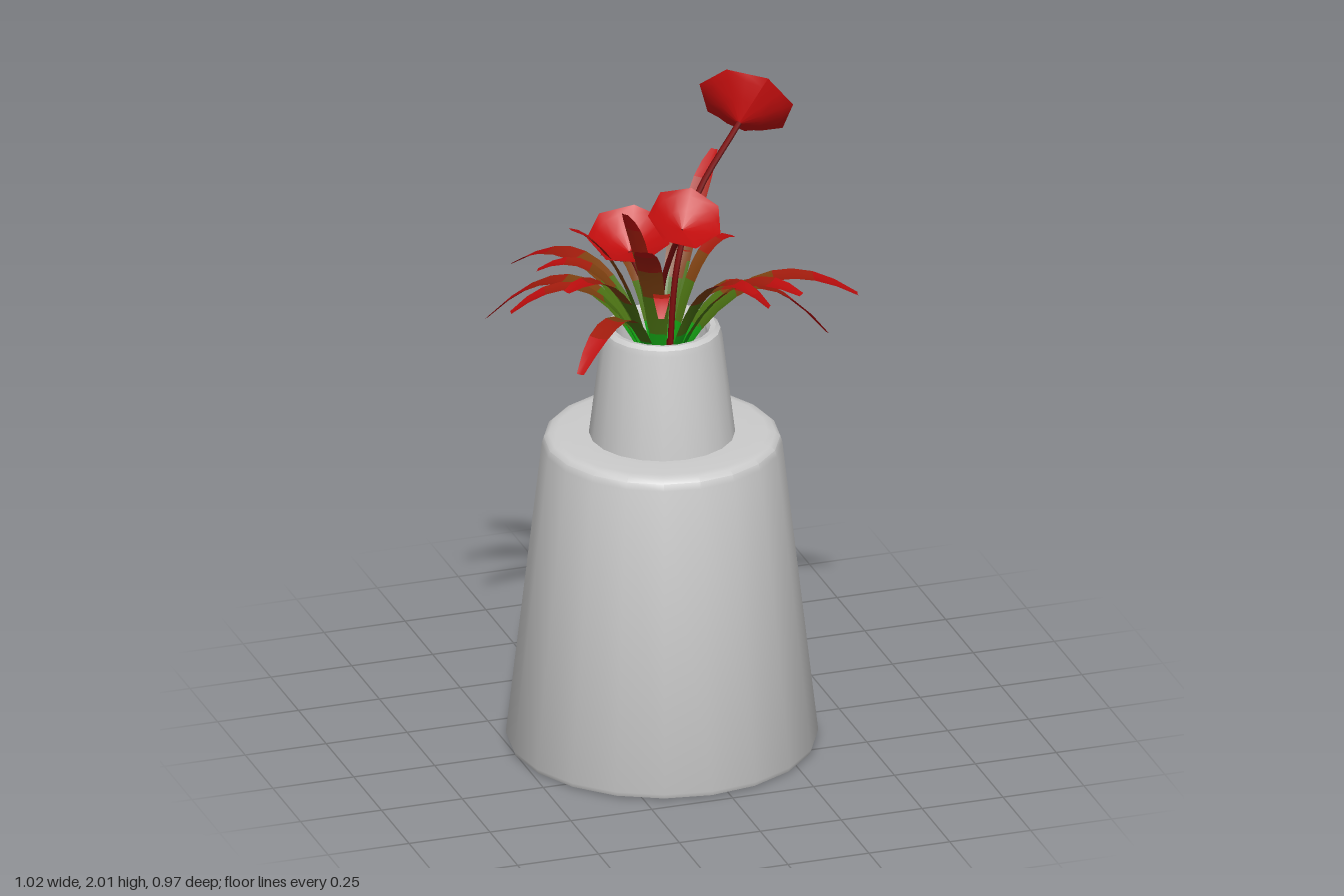
import * as THREE from 'three';
import { toCreasedNormals } from 'three/addons/utils/BufferGeometryUtils.js';

const V = (x, y, z) => new THREE.Vector3(x, y, z);
const AXIS = V(-0.055, 0, 0.022); // upright centre line of the vase
const thin = (color) => new THREE.MeshStandardMaterial({ color, side: THREE.DoubleSide });
// green at the root, red at the tip
const BANDS = [0x14a014, 0x4a7012, 0x7d4010, 0xa31c0d, 0xbb0d0d].map(thin);
const PETAL = thin(0xc40e0e);
const STEM = thin(0x7a0c0c);

function makeVase() {
  const profile = [
    [0, 0], [0.435, 0], [0.452, 0.006], [0.457, 0.02],
    [0.352, 0.945], [0.346, 0.965], [0.332, 0.977], [0.31, 0.98], [0.214, 0.98],
    [0.176, 1.295], [0.171, 1.313], [0.158, 1.323], [0.142, 1.32], [0.133, 1.305],
    [0.14, 1.12], [0, 1.12],
  ].map(([r, y]) => new THREE.Vector2(r, y));
  const geometry = toCreasedNormals(new THREE.LatheGeometry(profile, 20), 0.6);
  const mesh = new THREE.Mesh(geometry, new THREE.MeshStandardMaterial({ color: 0xcccccc }));
  mesh.name = 'vase';
  mesh.position.copy(AXIS);
  return mesh;
}

// Arching blade with a shallow central fold, in colour bands of two rows
function makeLeaf([x, y, z, width]) {
  const leaf = new THREE.Group();
  leaf.name = 'leaf';
  const tip = V(x, y, z);
  const out = V(x - AXIS.x, 0, z - AXIS.z);
  const reach = out.length();
  out.normalize();
  const side = V(out.z, 0, -out.x);
  const base = AXIS.clone().addScaledVector(out, 0.02).setY(1.15);
  const bend = AXIS.clone().addScaledVector(out, reach * 0.42).setY(1.62);
  const curve = new THREE.QuadraticBezierCurve3(base, bend, tip);
  const rows = BANDS.length * 2;
  const halfWidth = (t) => width * 0.5 *
    (t < 0.7 ? 0.3 + 0.7 * Math.sin((t / 0.7) * Math.PI / 2) : 1 - 0.65 * ((t - 0.7) / 0.3) ** 2);

  BANDS.forEach((material, b) => {
    const positions = [], index = [];
    for (let i = 0; i <= 2; i++) {
      const t = (b * 2 + i) / rows;
      const p = curve.getPoint(t);
      const up = curve.getTangent(t).cross(side).normalize();
      for (const s of [-1, 0, 1]) {
        const q = p.clone().addScaledVector(side, s * halfWidth(t));
        if (s === 0) q.addScaledVector(up, -0.15 * halfWidth(t));
        positions.push(q.x, q.y, q.z);
      }
      if (i < 2) for (let k = i * 3; k < i * 3 + 2; k++) index.push(k, k + 1, k + 3, k + 1, k + 4, k + 3);
    }
    const geometry = new THREE.BufferGeometry();
    geometry.setAttribute('position', new THREE.Float32BufferAttribute(positions, 3));
    geometry.setIndex(index);
    geometry.computeVertexNormals();
    const mesh = new THREE.Mesh(geometry, material);
    mesh.name = 'leafBand';
    leaf.add(mesh);
  });
  return leaf;
}

// Shallow scalloped cup on a curved stem
function makeFlower({ center, normal, radius, depth, via }) {
  const flower = new THREE.Group();
  flower.name = 'flower';
  const n = normal.clone().normalize();
  const profile = [[0.02, 0], [0.45, 0.42], [0.8, 0.8], [1, 1]]
    .map(([r, h]) => new THREE.Vector2(r * radius, (h - 0.75) * depth));
  const geometry = new THREE.LatheGeometry(profile, 14);
  const p = geometry.attributes.position;
  for (let i = 0; i < p.count; i++) {
    const row = i % profile.length;
    const column = Math.floor(i / profile.length);
    const k = row === 3 && column % 2 ? 0.9 : 1;
    p.setXYZ(i, p.getX(i) * k, p.getY(i), p.getZ(i) * k);
  }
  geometry.computeVertexNormals();
  const petals = new THREE.Mesh(geometry, PETAL);
  petals.name = 'petals';
  petals.position.copy(center);
  petals.quaternion.setFromUnitVectors(V(0, 1, 0), n);

  const path = new THREE.CatmullRomCurve3([
    V(AXIS.x + 0.02, 1.15, AXIS.z), ...via, center.clone().addScaledVector(n, -0.72 * depth),
  ]);
  const stem = new THREE.Mesh(new THREE.TubeGeometry(path, 16, 0.009, 6), STEM);
  stem.name = 'stem';
  flower.add(petals, stem);
  return flower;
}

export function createModel() {
  const model = new THREE.Group();
  model.name = 'pottedPlant';
  model.add(makeVase());

  // leaf tips (x, y, z) and blade width
  const leaves = [
    [-0.345, 1.35, -0.48, 0.08], [-0.46, 1.24, -0.37, 0.08], [-0.38, 1.47, -0.155, 0.06],
    [-0.495, 1.39, -0.06, 0.06], [-0.345, 1.68, 0.045, 0.06], [-0.4, 1.54, 0.17, 0.07],
    [-0.43, 1.37, 0.38, 0.065], [-0.21, 1.69, 0.285, 0.075], [-0.21, 1.75, 0.14, 0.06],
    [-0.135, 1.45, 0.25, 0.05], [0.11, 1.55, 0.38, 0.07], [0.265, 1.51, 0.345, 0.075],
    [0.22, 1.41, 0.19, 0.075], [0.51, 1.39, 0.14, 0.075], [0.48, 1.19, -0.055, 0.08],
    [0.2, 1.53, -0.07, 0.05], [0.21, 1.72, -0.28, 0.06], [0.17, 1.51, -0.36, 0.065],
    [0.13, 1.47, -0.2, 0.05], [-0.045, 1.52, -0.37, 0.055], [-0.125, 1.42, -0.3, 0.06],
  ];
  leaves.forEach((leaf) => model.add(makeLeaf(leaf)));

  const flowers = [
    { center: V(0.28, 1.872, -0.215), normal: V(0.5, 0.45, -0.72), radius: 0.145, depth: 0.085,
      via: [V(0, 1.5, 0), V(0.08, 1.68, -0.06)] },
    { center: V(-0.085, 1.785, 0.315), normal: V(0, 0.83, 0.5), radius: 0.112, depth: 0.06,
      via: [V(-0.08, 1.45, 0.09), V(-0.085, 1.62, 0.19)] },
    { center: V(-0.147, 1.6, -0.005), normal: V(-0.12, 0.92, 0.32), radius: 0.125, depth: 0.07,
      via: [V(-0.07, 1.35, 0.01), V(-0.11, 1.47, 0)] },
  ];
  flowers.forEach((flower) => model.add(makeFlower(flower)));
  return model;
}
